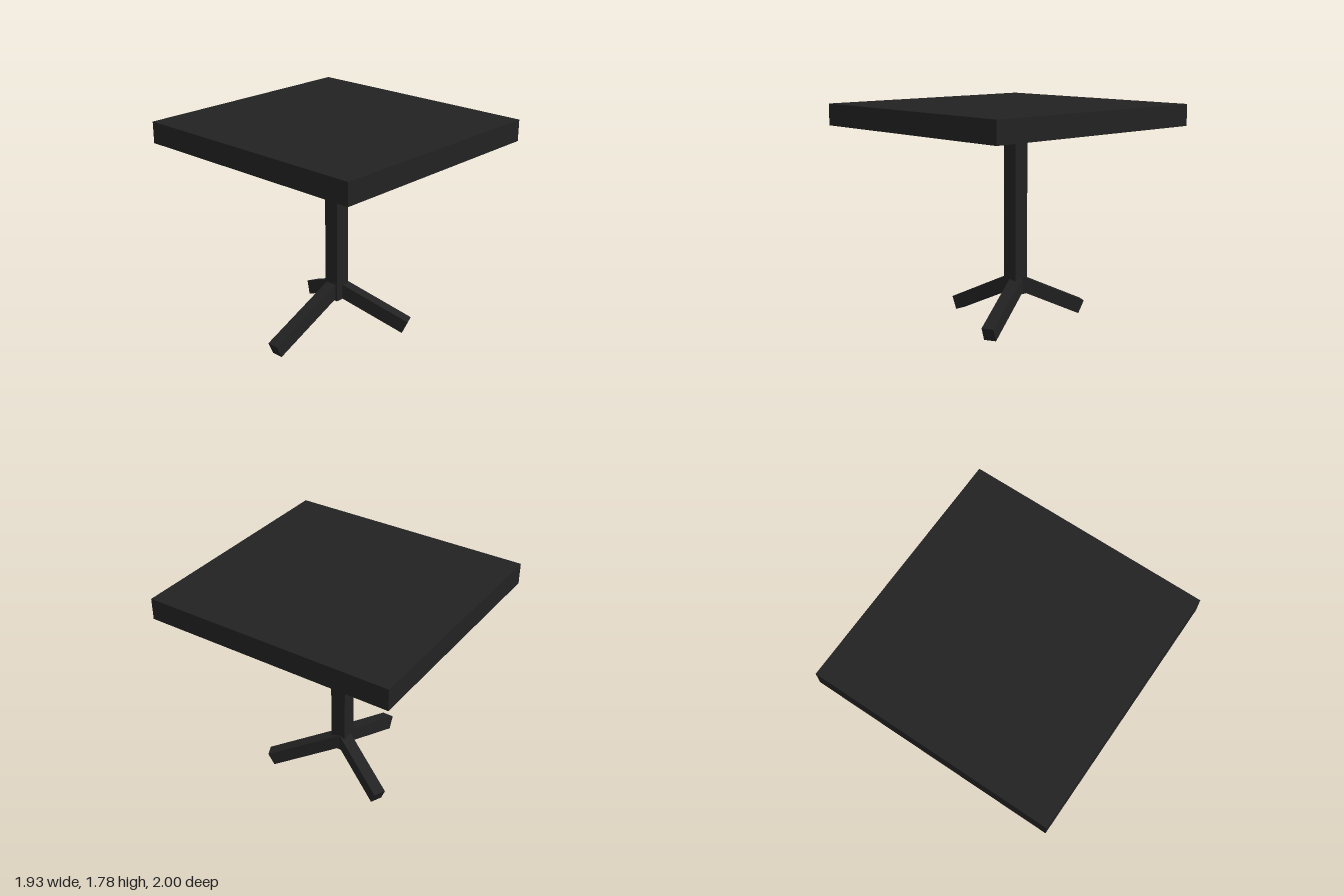
import * as THREE from 'three';

export function createModel() {
  const table = new THREE.Group();
  table.name = 'pedestalTable';
  const material = new THREE.MeshStandardMaterial({ color: 0x222222, flatShading: true });

  function box(name, w, h, d, x, y, z) {
    const mesh = new THREE.Mesh(new THREE.BoxGeometry(w, h, d), material);
    mesh.name = name;
    mesh.position.set(x, y, z);
    table.add(mesh);
    return mesh;
  }

  // Thick slab top
  box('tabletop', 1.935, 0.17, 2, 0, 1.7, 0);

  // Square column, slightly off centre
  const cx = 0.048, cz = -0.044;
  box('column', 0.13, 1.36, 0.128, cx, 0.95, cz);

  // Three splayed legs: centre of the foot's end face and heading from +x towards +z
  const tilt = Math.atan(0.457);
  const legs = [
    ['rightLeg', -0.66, 0.057, -0.044, 180, 0.77],
    ['frontLeg', 0.312, 0.0925, 0.484, 65.5, 0.64],
    ['backLeg', 0.284, 0.122, -0.537, -65, 0.59],
  ];
  for (const [name, x, y, z, heading, length] of legs) {
    const leg = box(name, length, 0.114, 0.098, x, y, z);
    leg.geometry.translate(-length / 2, 0, 0); // pivot at the foot
    leg.rotation.set(0, -THREE.MathUtils.degToRad(heading), -tilt, 'YXZ');
  }
  return table;
}
